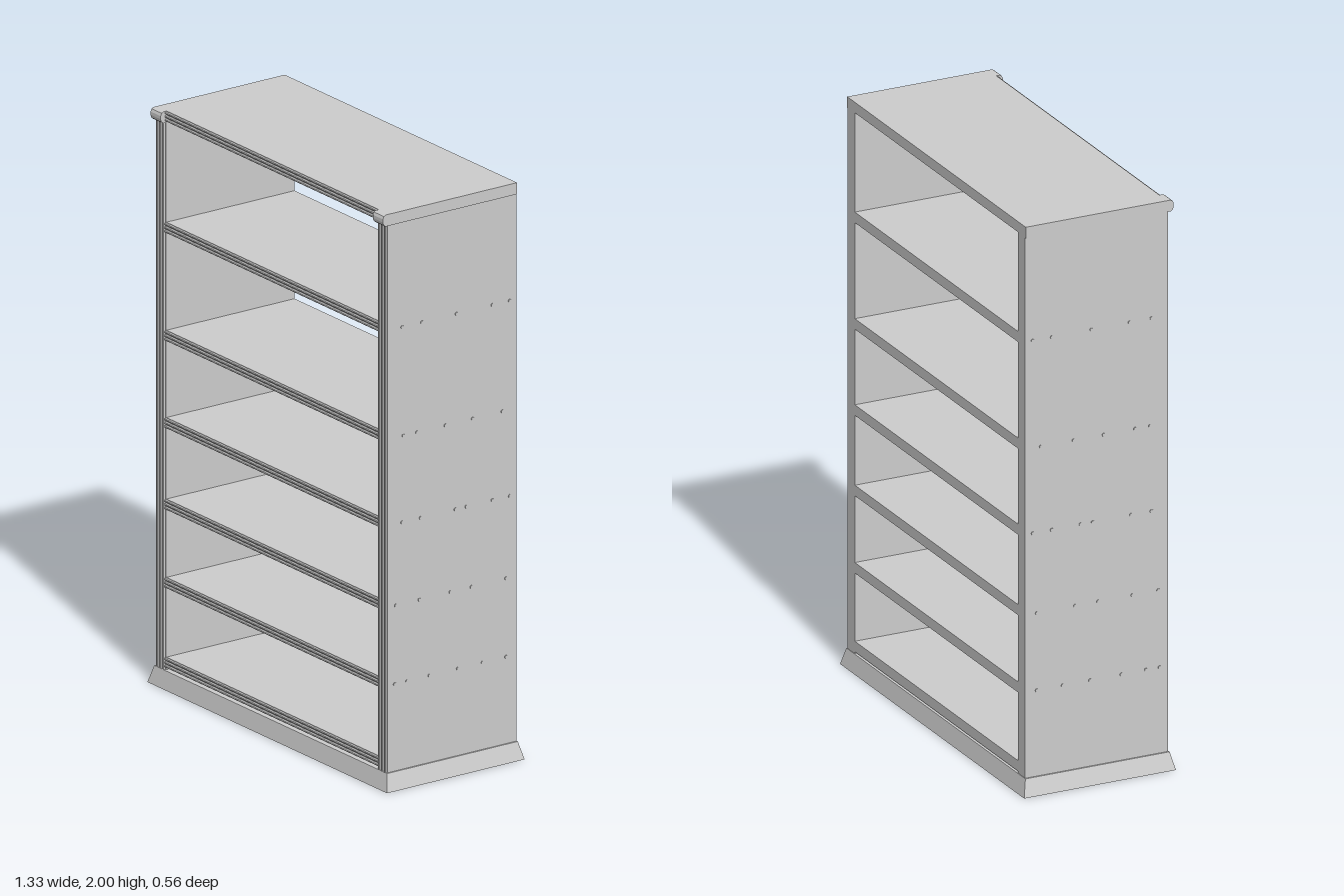
import * as THREE from 'three';

const grey = new THREE.MeshStandardMaterial({ color: 0xcccccc });
grey.name = 'plain grey';

// Board outline: u across the thickness, v towards the front, with a beaded front edge
function beadedOutline(u0, u1, back, front, beads = 3, depth = 0.007) {
  const pts = [new THREE.Vector2(u0, back), new THREE.Vector2(u0, front - depth)];
  const w = (u1 - u0) / beads;
  for (let i = 0; i < beads; i++) {
    const u = u0 + i * w;
    pts.push(new THREE.Vector2(u + w * 0.14, front - depth));
    pts.push(new THREE.Vector2(u + w * 0.26, front - depth * 0.2));
    pts.push(new THREE.Vector2(u + w * 0.5, front));
    pts.push(new THREE.Vector2(u + w * 0.74, front - depth * 0.2));
    pts.push(new THREE.Vector2(u + w * 0.86, front - depth));
  }
  pts.push(new THREE.Vector2(u1, front - depth), new THREE.Vector2(u1, back));
  return pts;
}

function extrude(points, length) {
  const g = new THREE.ExtrudeGeometry(new THREE.Shape(points), { depth: length, bevelEnabled: false });
  return g.translate(0, 0, -length / 2);
}

export function createModel() {
  const model = new THREE.Group();
  model.name = 'bookcase';
  const add = (name, geometry, x = 0, y = 0, z = 0) => {
    const mesh = new THREE.Mesh(geometry, grey);
    mesh.name = name;
    mesh.position.set(x, y, z);
    model.add(mesh);
    return mesh;
  };

  // Plinth with sloping sides
  const plinth = new THREE.BoxGeometry(1.33, 0.06, 0.556);
  const p = plinth.attributes.position;
  for (let i = 0; i < p.count; i++) {
    if (p.getY(i) > 0) p.setXYZ(i, p.getX(i) * 0.972, p.getY(i), p.getZ(i) * 0.95);
  }
  plinth.computeVertexNormals();
  add('plinth', plinth, 0, 0.03, 0);

  // Shelves and top board, beaded along the front
  const shelfOutline = beadedOutline(-0.0185, 0.0185, -0.262, 0.263).map((v) => new THREE.Vector2(v.y, v.x));
  const shelf = extrude(shelfOutline, 1.19).rotateY(-Math.PI / 2);
  const heights = [0.085, 0.362, 0.634, 0.917, 1.22, 1.595];
  heights.forEach((y, i) => add(`shelf${i + 1}`, shelf, 0, y, 0));
  add('topBoard', shelf, 0, 1.9815, 0);

  // Side panels, beaded along the front
  const side = extrude(beadedOutline(-0.0255, 0.0255, -0.262, 0.265), 1.905).rotateX(Math.PI / 2);

  // End caps of the top, rounded at the front
  const capOutline = [
    [-0.262, -0.02], [0.27, -0.02], [0.277, -0.014], [0.28, -0.004],
    [0.28, 0.007], [0.276, 0.016], [0.268, 0.02], [-0.262, 0.02],
  ].map(([z, y]) => new THREE.Vector2(z, y));
  const cap = extrude(capOutline, 0.056).rotateY(-Math.PI / 2);

  // Pegs holding the shelves, as seen on the side panels
  const peg = new THREE.CylinderGeometry(0.006, 0.006, 0.006, 8).rotateZ(Math.PI / 2);
  const pegRows = [
    [0.362, [0.23, 0.18, 0.09, -0.025, -0.125, -0.22]],
    [0.634, [0.225, 0.13, 0.005, -0.08, -0.22]],
    [0.917, [0.2, 0.125, -0.015, -0.06, -0.165, -0.235]],
    [1.217, [0.195, 0.14, 0.025, -0.085, -0.205]],
    [1.595, [0.2, 0.12, -0.02, -0.165, -0.235]],
  ];

  for (const s of [-1, 1]) {
    const word = s > 0 ? 'left' : 'right';
    add(`${word}Side`, side, s * 0.6155, 1.0105, 0);
    add(`${word}TopCap`, cap, s * 0.617, 1.98, 0);
    for (const [y, zs] of pegRows) {
      for (const z of zs) add(`${word}Peg`, peg, s * 0.641, y, z);
    }
  }
  return model;
}
